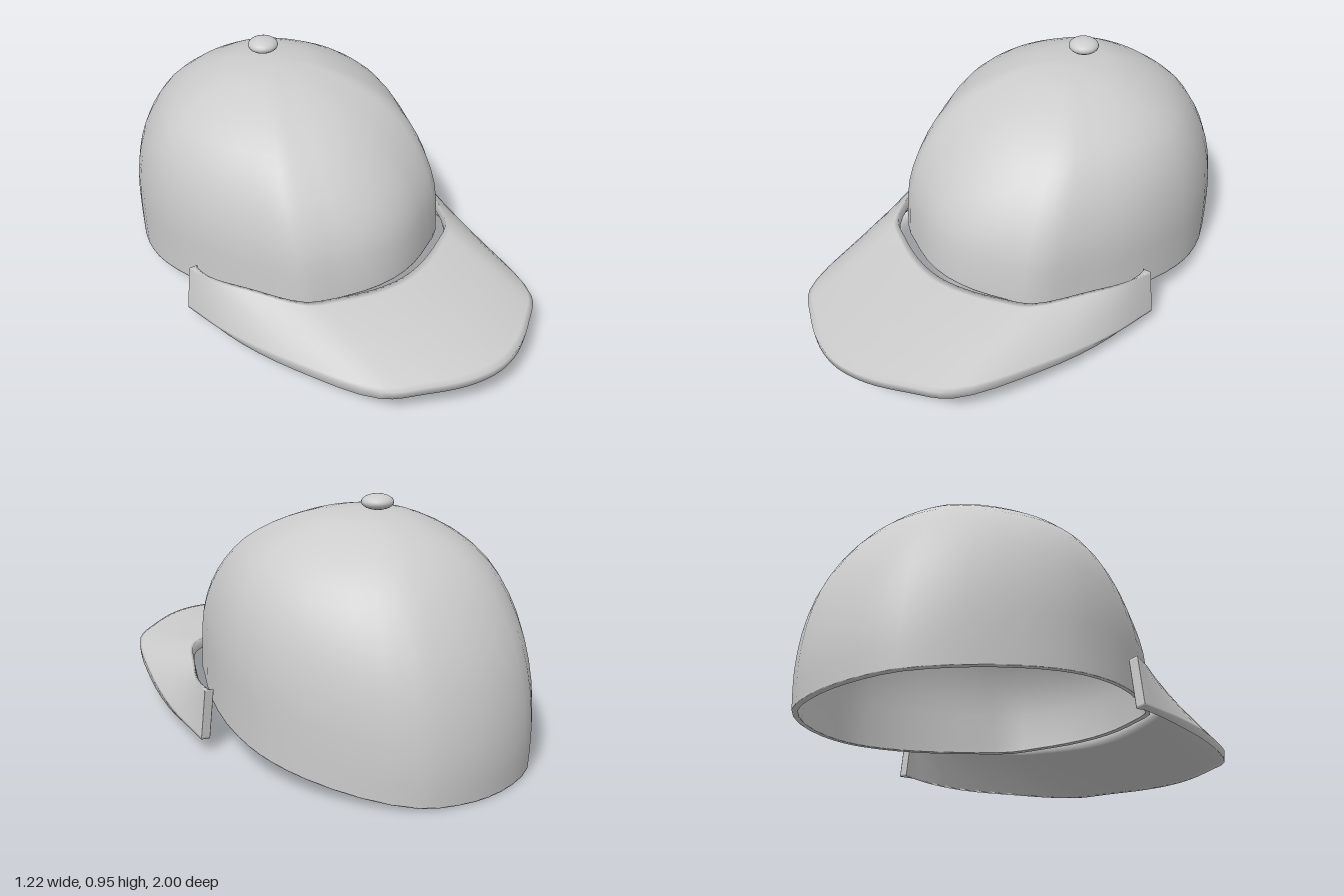
import * as THREE from 'three';
import { mergeVertices } from 'three/addons/utils/BufferGeometryUtils.js';

const V = (x, y, z) => new THREE.Vector3(x, y, z);

// Smooth skin over a list of closed rings with equal point counts
function loft(rings) {
  const n = rings[0].length, pos = [], idx = [];
  rings.forEach(r => r.forEach(p => pos.push(p.x, p.y, p.z)));
  for (let i = 0; i < rings.length - 1; i++) {
    for (let j = 0; j < n; j++) {
      const a = i * n + j, b = i * n + (j + 1) % n;
      idx.push(a, b, b + n, a, b + n, a + n);
    }
  }
  let g = new THREE.BufferGeometry();
  g.setAttribute('position', new THREE.Float32BufferAttribute(pos, 3));
  g.setIndex(idx);
  g = mergeVertices(g, 1e-5);
  g.computeVertexNormals();
  return g;
}

const mirror = p => V(-p.x, p.y, p.z);

// Crown: egg-shaped plan, with separate front, side and back profiles
function crownGeometry() {
  const half = [[0, 0.435], [0.13, 0.415], [0.26, 0.36], [0.36, 0.305], [0.43, 0.17], [0.5, 0], [0.545, -0.18],
    [0.555, -0.35], [0.54, -0.47], [0.495, -0.61], [0.395, -0.79], [0.26, -0.93], [0.13, -0.98], [0, -0.995]]
    .map(([x, z]) => V(x, 0, z));
  const plan = new THREE.CatmullRomCurve3([...half, ...half.slice(1, -1).reverse().map(mirror)], true);
  const outline = Array.from({ length: 52 }, (_, i) => plan.getPoint(i / 52));

  // Each profile gives the plan scale at a relative height
  const levels = [0, 0.025, 0.16, 0.33, 0.5, 0.65, 0.78, 0.88, 0.95, 0.985, 1];
  const profile = scales => new THREE.SplineCurve(scales.map((s, i) => new THREE.Vector2(s, levels[i])));
  const front = profile([1, 1, 0.99, 0.96, 0.88, 0.765, 0.63, 0.475, 0.31, 0.17, 0]);
  const side = profile([1, 1, 1, 1, 0.97, 0.905, 0.79, 0.61, 0.41, 0.24, 0]);
  const back = profile([0.99, 0.992, 1, 0.975, 0.915, 0.82, 0.7, 0.55, 0.37, 0.22, 0]);
  const cz = -0.29, slope = 0.157, steps = 20;

  const ring = (t, inset) => {
    const f = front.getPoint(t), s = side.getPoint(t), b = back.getPoint(t);
    const shrink = 1 - inset / 0.6;
    return outline.map(p => {
      const rimY = slope * (p.z + 0.995), dz = p.z - cz;
      return V(
        p.x * s.x * shrink,
        rimY + s.y * (0.893 - inset - rimY),
        cz + dz * (dz > 0 ? f.x : b.x) * shrink);
    });
  };
  const ts = Array.from({ length: steps + 1 }, (_, i) => i / steps);
  return loft([...ts.slice().reverse().map(t => ring(t, 0.018)), ...ts.map(t => ring(t, 0))]);
}

// Brim: crescent sheet that turns steep towards its two tips
function brimGeometry() {
  const inner = [V(0, 0.258, 0.48), V(0.13, 0.258, 0.46), V(0.27, 0.258, 0.405), V(0.375, 0.258, 0.345),
    V(0.49, 0.254, 0.14), V(0.55, 0.25, 0.02), V(0.588, 0.245, -0.105)];
  const outer = [V(0, 0.194, 1), V(0.13, 0.191, 0.975), V(0.27, 0.181, 0.9), V(0.395, 0.164, 0.805),
    V(0.52, 0.126, 0.48), V(0.59, 0.082, 0.16), V(0.61, 0.053, -0.105)];
  const span = h => new THREE.CatmullRomCurve3([...h.slice(1).reverse().map(mirror), ...h]);
  const a = span(inner), b = span(outer);

  const stations = 48, thick = 0.038, steps = [0, 0.05, 0.5, 0.95, 1];
  const sections = [];
  for (let i = 0; i <= stations; i++) {
    const p = a.getPoint(i / stations), q = b.getPoint(i / stations);
    const run = Math.hypot(q.x - p.x, q.z - p.z), drop = p.y - q.y, len = Math.hypot(run, drop);
    const down = V((q.x - p.x) / run * drop / len, run / len, (q.z - p.z) / run * drop / len)
      .multiplyScalar(-thick);
    const top = steps.map(s => p.clone().lerp(q, s));
    sections.push([...top, ...top.map(t => t.clone().add(down)).reverse()]);
  }
  // Close both tips
  const cap = (s, k) => {
    const c = s.reduce((m, p) => m.add(p), V(0, 0, 0)).divideScalar(s.length);
    return s.map(p => c.clone().lerp(p, k));
  };
  const first = sections[0], last = sections[stations];
  return loft([cap(first, 0), cap(first, 0.9), ...sections, cap(last, 0.9), cap(last, 0)]);
}

export function createModel() {
  const group = new THREE.Group();
  const grey = new THREE.MeshStandardMaterial({ color: 0xcccccc });
  grey.name = 'light grey';
  const add = (name, geometry) => {
    const mesh = new THREE.Mesh(geometry, grey);
    mesh.name = name;
    group.add(mesh);
    return mesh;
  };

  add('crown', crownGeometry());
  add('brim', brimGeometry());

  // Flattened button on top
  const button = add('topButton', new THREE.SphereGeometry(0.06, 24, 14));
  button.scale.y = 0.48;
  button.position.set(0, 0.922, -0.37);

  return group;
}
